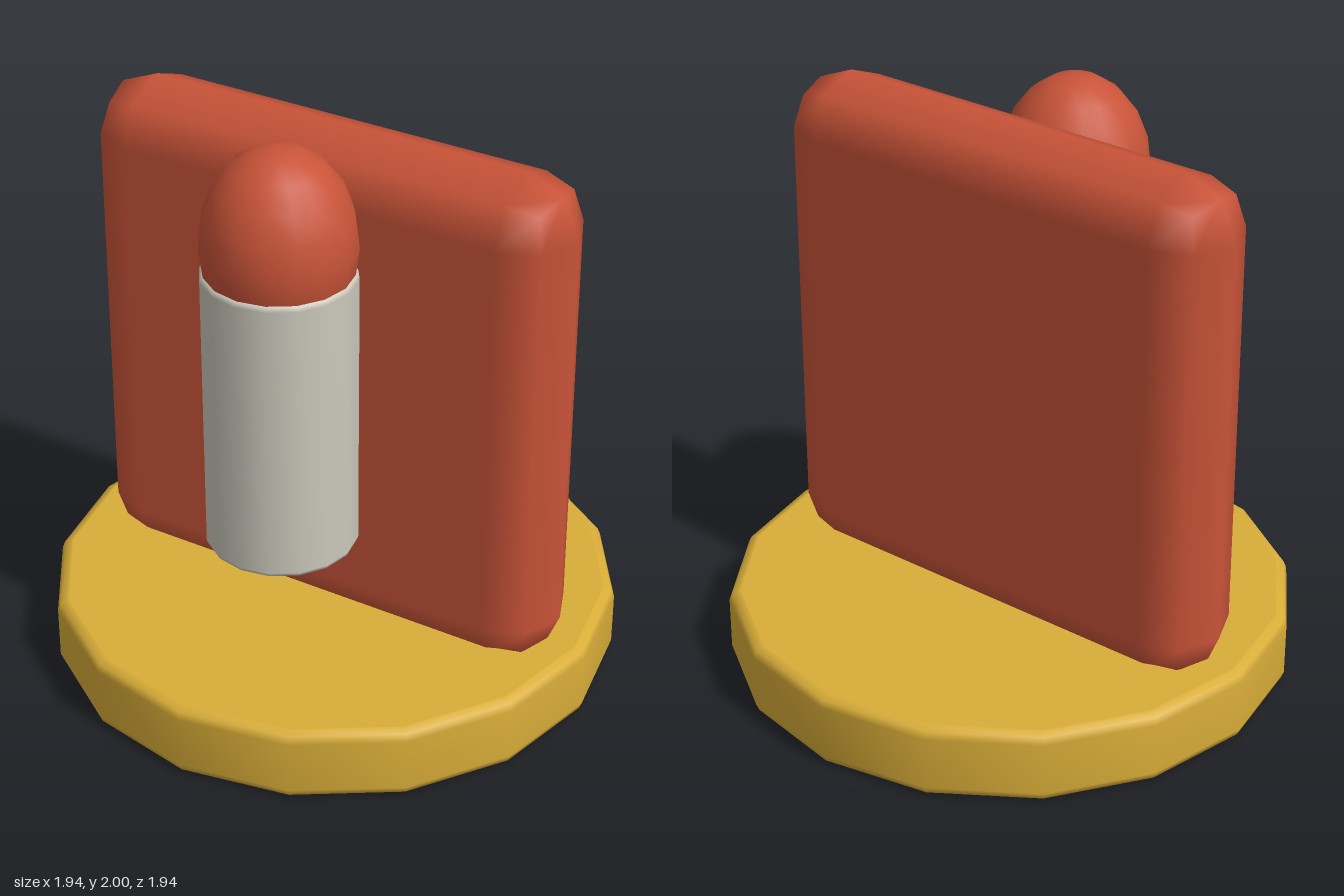
import * as THREE from 'three';
import { RoundedBoxGeometry } from 'three/addons/geometries/RoundedBoxGeometry.js';

const material = (name, color) => {
  const m = new THREE.MeshStandardMaterial({ color });
  m.name = name;
  return m;
};

// Upright disc or column with a small rounded edge at both ends
function roundedCylinder(radius, height, bevel, sides) {
  const profile = [[0, 0], [radius - bevel * 1.15, 0], [radius - bevel, 0]];
  for (const a of [45, 90]) {
    const t = THREE.MathUtils.degToRad(a);
    profile.push([radius - bevel + bevel * Math.sin(t), bevel - bevel * Math.cos(t)]);
  }
  const top = profile.map(([r, y]) => [r, height - y]).reverse();
  const points = [...profile, ...top].map(([r, y]) => new THREE.Vector2(r, y));
  return new THREE.LatheGeometry(points, sides);
}

export function createModel() {
  const model = new THREE.Group();
  model.name = 'wallCandleHolder';
  const red = material('brick red', 0xc85338);
  const gold = material('gold', 0xd9ad38);
  const wax = material('pale wax', 0xcbc8bb);

  const add = (name, geometry, mat, x, y, z) => {
    const mesh = new THREE.Mesh(geometry, mat);
    mesh.name = name;
    mesh.position.set(x, y, z);
    model.add(mesh);
    return mesh;
  };

  // Sixteen-sided base disc
  add('base', roundedCylinder(0.97, 0.255, 0.035, 16), gold, 0, 0, 0);

  // Upright plate with fully rounded edges, sunk into the base
  add('backPlate', new RoundedBoxGeometry(1.74, 1.79, 0.39, 1, 0.19), red, 0, 1.055, 0);

  // Candle set into the front of the plate
  add('candle', roundedCylinder(0.255, 1.01, 0.02, 16), wax, 0, 0.57, 0.335);

  // Egg-shaped flame resting in the candle top
  const flame = add('flame', new THREE.SphereGeometry(1, 16, 10), red, 0, 1.67, 0.335);
  flame.scale.set(0.255, 0.33, 0.255);

  return model;
}
